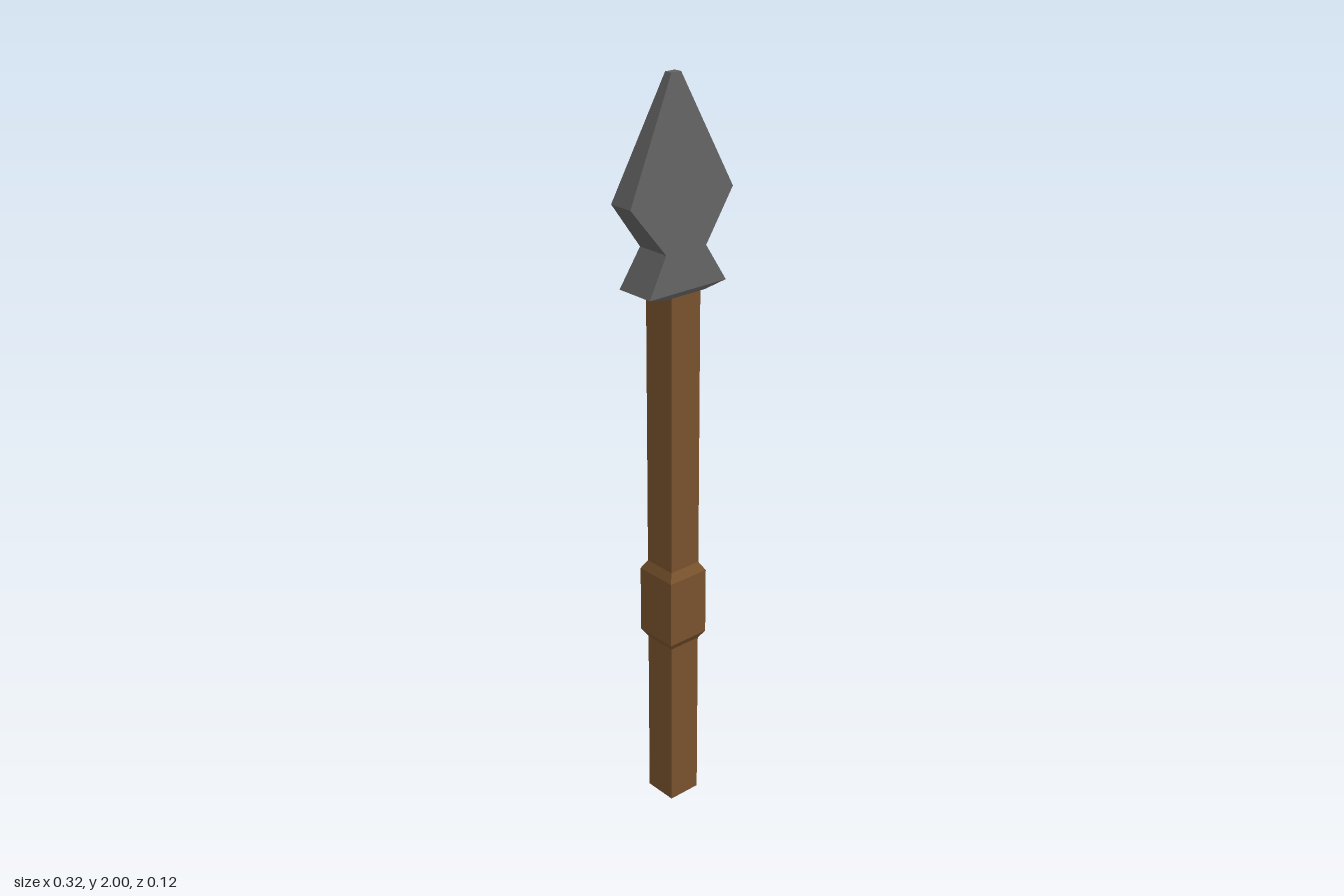
import * as THREE from 'three';

// Solid with rectangular cross-sections; each row is [y, half width, half depth], bottom to top
function loft(rows) {
  const pos = [];
  const ring = ([y, w, d]) => [[-w, y, d], [w, y, d], [w, y, -d], [-w, y, -d]];
  const quad = (a, b, c, d) => pos.push(...a, ...b, ...c, ...a, ...c, ...d);
  const rings = rows.map(ring);
  for (let i = 0; i < rings.length - 1; i++) {
    const lo = rings[i], hi = rings[i + 1];
    for (let k = 0; k < 4; k++) {
      const n = (k + 1) % 4;
      quad(lo[k], lo[n], hi[n], hi[k]);
    }
  }
  const b = rings[0], t = rings[rings.length - 1];
  quad(b[3], b[2], b[1], b[0]);
  quad(t[0], t[1], t[2], t[3]);
  const g = new THREE.BufferGeometry();
  g.setAttribute('position', new THREE.Float32BufferAttribute(pos, 3));
  g.computeVertexNormals();
  return g;
}

export function createModel() {
  const group = new THREE.Group();
  const wood = new THREE.MeshStandardMaterial({ color: 0x7a532d });
  wood.name = 'brown wood';
  const stone = new THREE.MeshStandardMaterial({ color: 0x636363 });
  stone.name = 'grey stone';

  const add = (name, rows, material) => {
    const mesh = new THREE.Mesh(loft(rows), material);
    mesh.name = name;
    group.add(mesh);
  };

  // Square shaft with a bevelled, thicker grip in one piece
  add('shaft', [
    [0, 0.047, 0.047],
    [0.485, 0.047, 0.047],
    [0.507, 0.061, 0.061],
    [0.693, 0.061, 0.061],
    [0.717, 0.047, 0.047],
    [1.475, 0.047, 0.047],
  ], wood);

  // Leaf-shaped head: flared base, notch, widest point, blunt tip
  add('spearhead', [
    [1.47, 0.062, 0.047],
    [1.484, 0.123, 0.056],
    [1.582, 0.064, 0.048],
    [1.708, 0.162, 0.035],
    [2, 0.015, 0.011],
  ], stone);

  return group;
}
